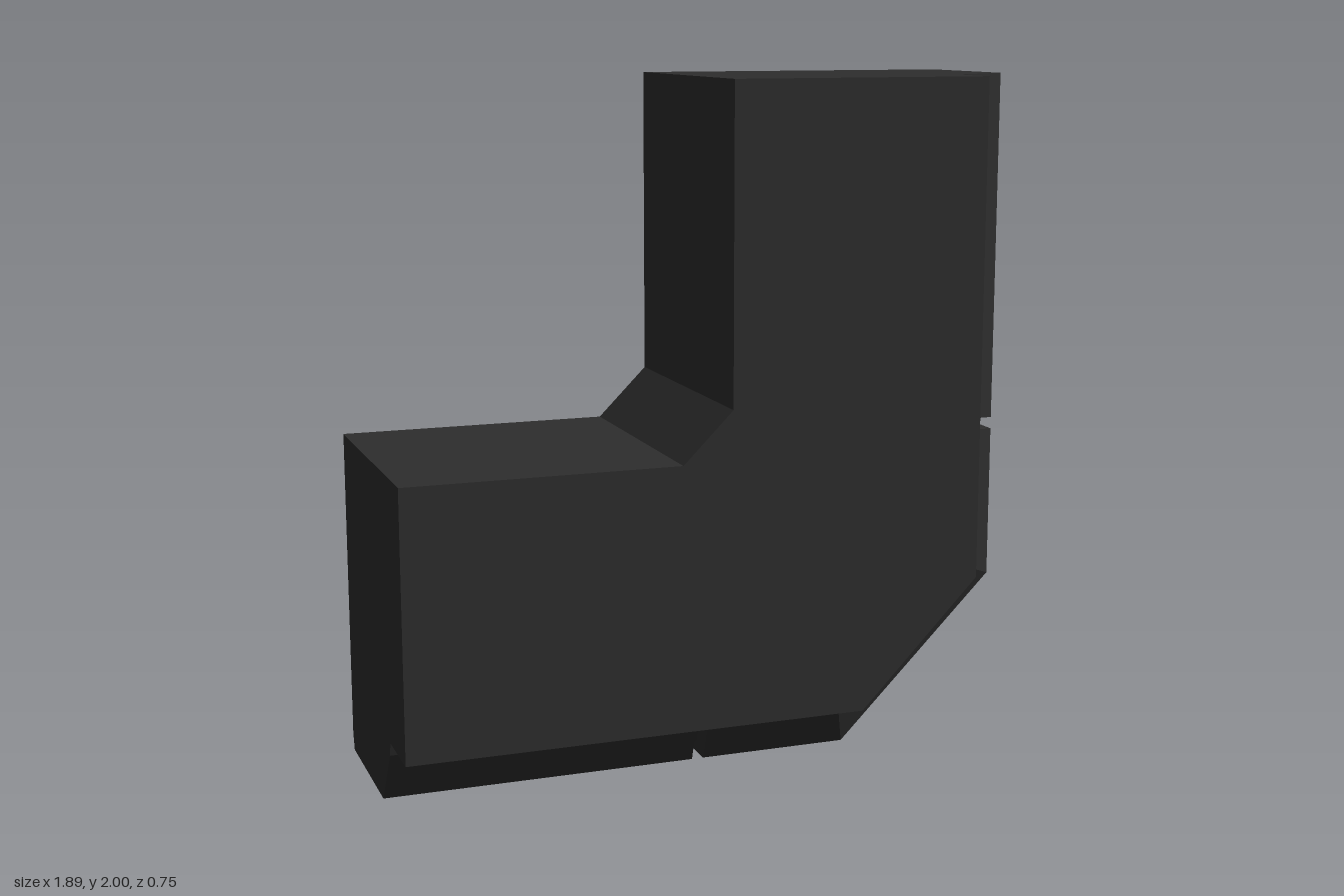
import * as THREE from 'three';

const HALF = 0.945, TOP = 2, BACK = -0.377, FRONT = 0.377;
const material = new THREE.MeshStandardMaterial({ color: 0x2d2d2d, flatShading: true });

// Rail cross-sections as [depth in from the outer edge, z], front to back
const full = [[0.205, 0.182], [0.165, 0.17], [0, 0.06], [0, -0.362], [0.05, BACK], [0.205, BACK]];
const groove = [[0.205, 0.15], [0.165, 0.135], [0.05, 0.05], [0.05, -0.362], [0.05, BACK], [0.205, BACK]];

// Stations along the outside of the elbow, each giving x, y for a depth
const onFoot = (x, slant = 0) => d => [x - slant * d, d];
const onUpright = (y, slant = 0) => d => [HALF - d, y + slant * d];
const footBend = d => [0.462 - 0.37 * d, d];
const uprightBend = d => [HALF - d, 0.483 + 0.42 * d];

function sweepRail(stations) {
  const rings = stations.map(([at, section]) => section.map(([d, z]) => [...at(d), z]));
  const pos = [];
  const tri = (a, b, c) => pos.push(...a, ...b, ...c);
  for (let i = 0; i < rings.length - 1; i++) {
    const p = rings[i], q = rings[i + 1];
    for (let j = 0; j < p.length - 1; j++) {
      tri(p[j], p[j + 1], q[j + 1]);
      tri(p[j], q[j + 1], q[j]);
    }
  }
  // End caps
  const first = rings[0], last = rings[rings.length - 1];
  for (let j = 1; j < first.length - 1; j++) {
    tri(first[0], first[j + 1], first[j]);
    tri(last[0], last[j], last[j + 1]);
  }
  const geo = new THREE.BufferGeometry();
  geo.setAttribute('position', new THREE.Float32BufferAttribute(pos, 3));
  geo.computeVertexNormals();
  return geo;
}

export function createModel() {
  const group = new THREE.Group();
  group.name = 'elbowBlock';

  // Main L-shaped block with chamfered inner and outer corners
  const outline = [
    [-HALF, 0.205], footBend(0.205), uprightBend(0.205), [HALF - 0.205, TOP],
    [-0.015, TOP], [-0.015, 1.11], [-0.16, 0.965], [-HALF, 0.965],
  ].map(([x, y]) => new THREE.Vector2(x, y));
  const bodyGeo = new THREE.ExtrudeGeometry(new THREE.Shape(outline), {
    depth: FRONT - BACK, bevelEnabled: false,
  });
  bodyGeo.translate(0, 0, BACK);
  const body = new THREE.Mesh(bodyGeo, material);
  body.name = 'body';
  group.add(body);

  // Bevelled outer rail with a slanted groove across each leg
  const slant = 0.14;
  const rail = new THREE.Mesh(sweepRail([
    [onFoot(-HALF), full],
    [onFoot(-0.02, slant), full],
    [onFoot(-0.015, slant), groove],
    [onFoot(0.005, slant), groove],
    [onFoot(0.015, slant), full],
    [footBend, full],
    [uprightBend, full],
    [onUpright(0.935, slant), full],
    [onUpright(0.94, slant), groove],
    [onUpright(0.965, slant), groove],
    [onUpright(0.97, slant), full],
    [onUpright(TOP), full],
  ]), material);
  rail.name = 'outerRail';
  group.add(rail);

  return group;
}
